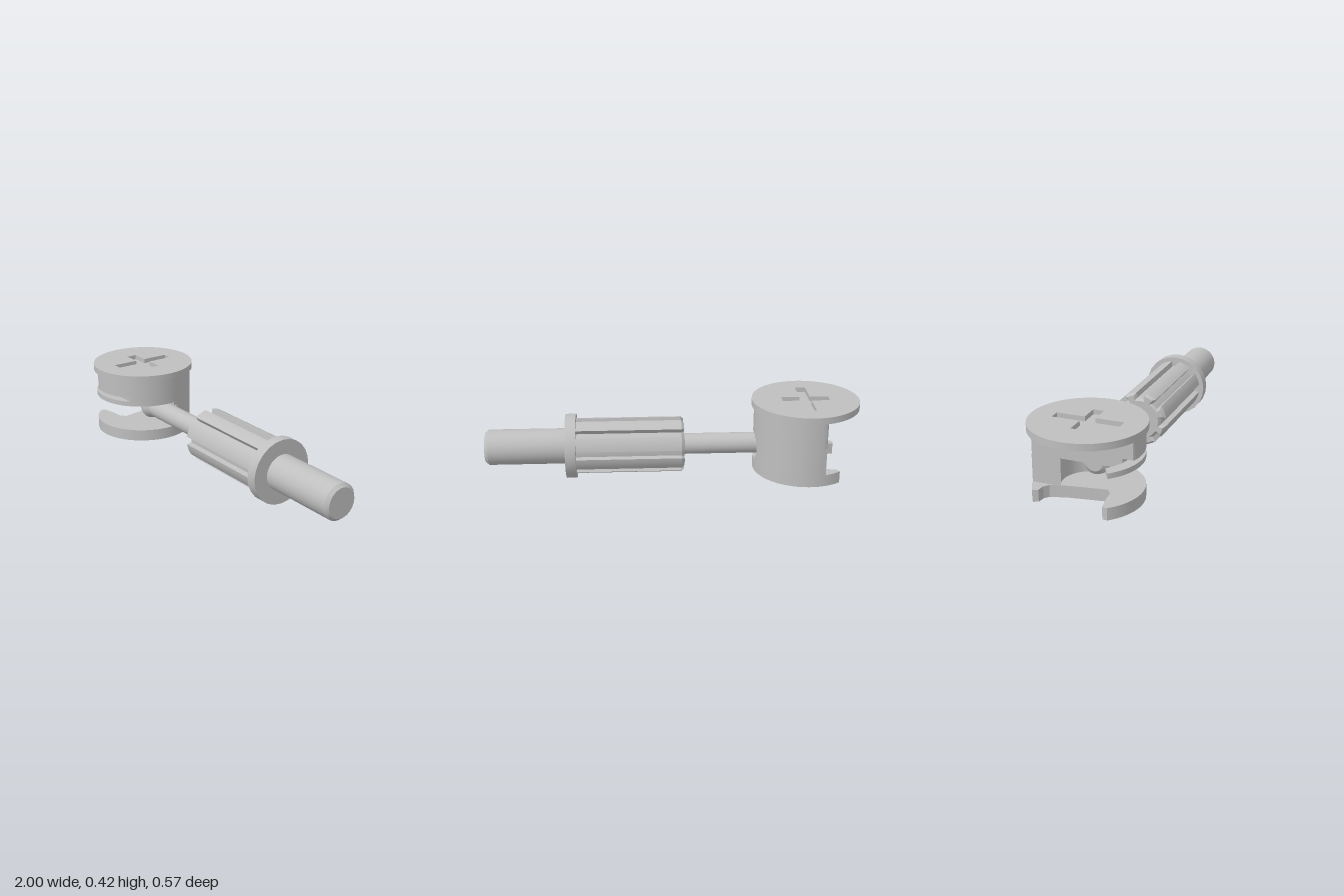
import * as THREE from 'three';
import { toCreasedNormals } from 'three/addons/utils/BufferGeometryUtils.js';

const steel = new THREE.MeshStandardMaterial({ color: 0xbfbfbf });
steel.name = 'grey metal';

const CAM_X = -0.713, AXIS_Y = 0.173, R = 0.273, CUT = -0.077;

function add(group, name, geo) {
  const mesh = new THREE.Mesh(toCreasedNormals(geo, 0.5), steel);
  mesh.name = name;
  group.add(mesh);
  return mesh;
}

// Points on a circle in (x, z), from angle a to angle b
function arc(r, a, b, n = 32) {
  return Array.from({ length: n + 1 }, (_, i) => {
    const t = a + (b - a) * i / n;
    return [r * Math.cos(t), r * Math.sin(t)];
  });
}

const toPath = (pts) => pts.map(([x, z]) => new THREE.Vector2(x, -z));

// Flat slab from an (x, z) outline, between two heights
function slab(outline, y0, y1, hole) {
  const shape = new THREE.Shape(toPath(outline));
  if (hole) shape.holes.push(new THREE.Path(toPath(hole)));
  const geo = new THREE.ExtrudeGeometry(shape, { depth: y1 - y0, bevelEnabled: false });
  return geo.rotateX(-Math.PI / 2).translate(0, y0, 0);
}

// Disc cut off flat at x = minX and z = maxZ
function clippedDisc(maxZ) {
  const pts = arc(R, 0, Math.PI * 2, 96).slice(0, -1)
    .map(([x, z]) => [Math.max(x, CUT), Math.min(z, maxZ)]);
  return pts.filter(([x, z], i) => {
    const p = pts[(i + pts.length - 1) % pts.length];
    return Math.hypot(x - p[0], z - p[1]) > 1e-5;
  });
}

// Turned part along the x axis from [x, radius] pairs
function turned(profile, segments = 32) {
  const pts = profile.map(([x, r]) => new THREE.Vector2(r, x));
  return new THREE.LatheGeometry(pts, segments).rotateZ(-Math.PI / 2);
}

function createCam() {
  const cam = new THREE.Group();
  cam.name = 'cam';
  cam.position.x = CAM_X;

  // Cap with a cross-shaped driver recess
  const a = 0.127, b = 0.173, w = 0.028;
  const cross = [[w, w], [a, w], [a, -w], [w, -w], [w, -b], [-w, -b],
    [-w, -w], [-a, -w], [-a, w], [-w, w], [-w, b], [w, b]];
  const rim = arc(0.287, 0, Math.PI * 2, 64).slice(0, -1);
  add(cam, 'capTop', slab(rim, 0.395, 0.42, cross));
  add(cam, 'capBase', slab(rim, 0.384, 0.395));

  // Upper body, and the narrower layer behind the front slot
  add(cam, 'upperBody', slab(clippedDisc(1), 0.285, 0.385));
  add(cam, 'slotLayer', slab(clippedDisc(0.205), 0.235, 0.285));

  // Thin curved hook at the front
  const hook = [...arc(R, 0.84, 2.4), ...arc(0.215, 2.35, 0.95)];
  add(cam, 'frontHook', slab(hook, 0.235, 0.262));

  // Back wall, hollowed for the bolt head and grooved around the bolt
  const slices = 8, y0 = 0.09, y1 = 0.235, rGroove = (y1 - y0) / 2, inner = 0.135;
  for (let i = 0; i < slices; i++) {
    const t = (i + 0.5) / slices * 2 - 1;
    const h = rGroove * Math.sqrt(1 - t * t);
    const wall = [
      ...arc(R, -Math.asin(h / R), -Math.acos(CUT / R)),
      ...arc(inner, -Math.acos(CUT / inner), -Math.asin(h / inner)),
    ];
    add(cam, 'backWall', slab(wall, y0 + (y1 - y0) * i / slices, y0 + (y1 - y0) * (i + 1) / slices));
  }

  // Bottom plate with the notch between its two fingers
  const plate = [
    ...arc(R, -2.2, 2.42, 64),
    [-0.2, 0.155], [-0.12, 0.14], [-0.06, 0.135], [-0.03, 0.11],
    [-0.06, -0.08], [-0.085, -0.17], [-0.11, -0.19], [-0.15, -0.195],
  ];
  add(cam, 'bottomPlate', slab(plate, 0.027, 0.09));
  return cam;
}

function createBolt() {
  const bolt = new THREE.Group();
  bolt.name = 'bolt';
  bolt.position.y = AXIS_Y;

  // Rounded head and thin rod
  add(bolt, 'rod', turned([[-0.655, 0], [-0.655, 0.045], [-0.64, 0.066], [-0.615, 0.073],
    [-0.59, 0.066], [-0.575, 0.056], [-0.04, 0.056]]));

  // Ribbed sleeve with eight lengthwise grooves
  const ribs = 8, rOut = 0.148, rIn = 0.118, half = 0.15;
  const section = [];
  for (let i = 0; i < ribs; i++) {
    const a = i * Math.PI * 2 / ribs, b = a + Math.PI * 2 / ribs;
    section.push(...arc(rIn, a - half, a + half, 2), ...arc(rOut, a + half, b - half, 6));
  }
  const shape = new THREE.Shape(section.map(([x, y]) => new THREE.Vector2(x, y)));
  const bevel = { bevelThickness: 0.015, bevelSize: 0.012, bevelOffset: -0.012, bevelSegments: 1 };
  const sleeve = new THREE.ExtrudeGeometry(shape, { depth: 0.56, ...bevel });
  add(bolt, 'ribbedSleeve', sleeve.rotateY(Math.PI / 2).translate(-0.045, 0, 0));

  // Collar and chamfered shaft
  add(bolt, 'collar', turned([[0.515, 0], [0.515, 0.173], [0.57, 0.173], [0.57, 0]], 24));
  add(bolt, 'shaft', turned([[0.56, 0.095], [0.982, 0.095], [1, 0.079], [1, 0]]));
  return bolt;
}

export function createModel() {
  const model = new THREE.Group();
  model.name = 'camLockFastener';
  model.add(createCam(), createBolt());
  return model;
}
